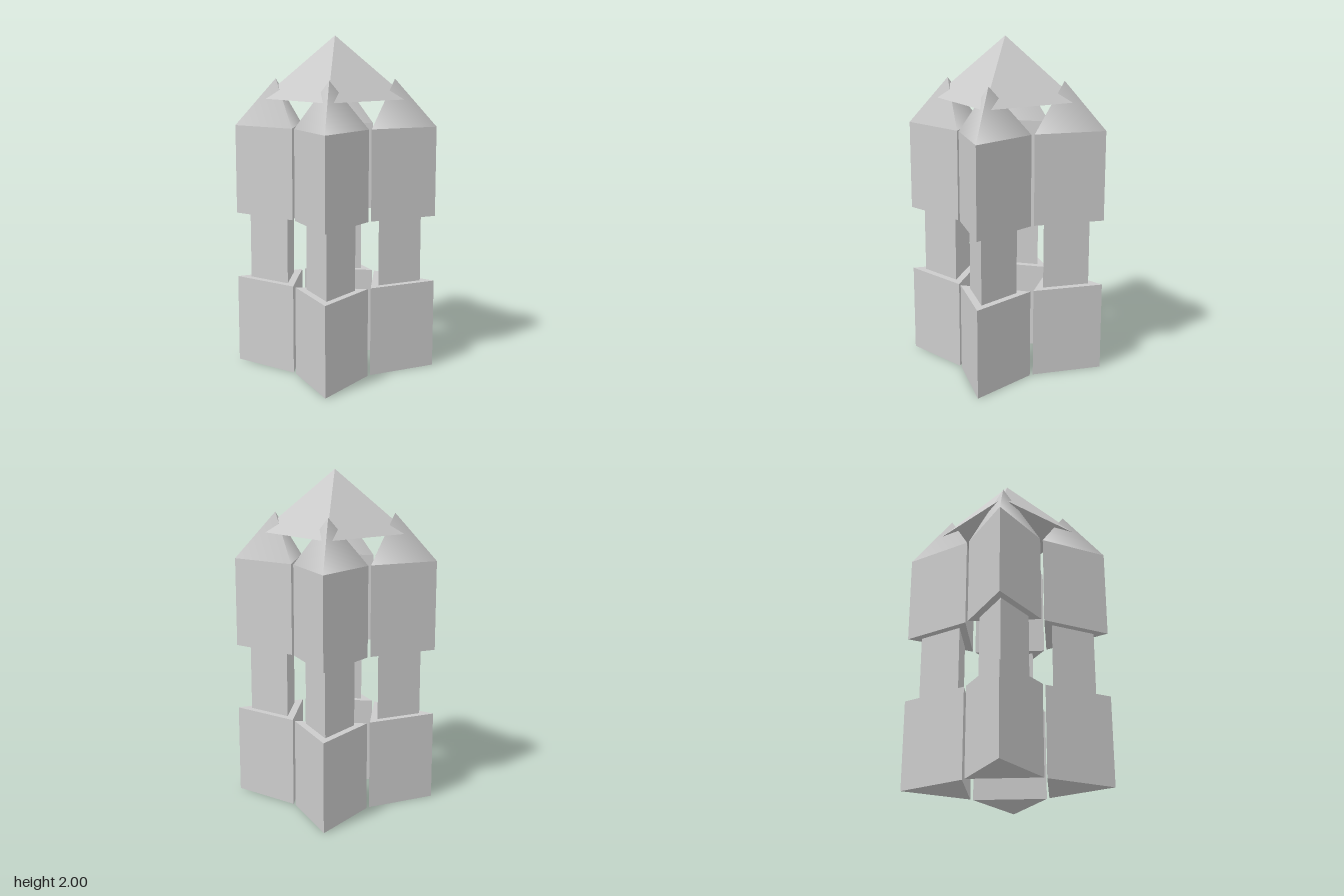
import * as THREE from 'three';

const flat = new THREE.MeshStandardMaterial({ color: 0xcccccc, flatShading: true });
const smooth = new THREE.MeshStandardMaterial({ color: 0xcccccc });

// Adds a mesh whose base sits at height y0
function add(parent, name, geometry, y0, height, material = flat) {
  const mesh = new THREE.Mesh(geometry, material);
  mesh.name = name;
  mesh.position.y = y0 + height / 2;
  parent.add(mesh);
  return mesh;
}

const prism = (radius, height) => new THREE.CylinderGeometry(radius, radius, height, 3);

// One triangular tower: lower block, narrow column, upper block, pointed cap
function createTower() {
  const tower = new THREE.Group();
  add(tower, 'lowerBlock', prism(0.248, 0.535), 0, 0.535);
  add(tower, 'column', prism(0.164, 0.4), 0.535, 0.4);
  add(tower, 'upperBlock', prism(0.248, 0.535), 0.935, 0.535);
  add(tower, 'towerCap', new THREE.ConeGeometry(0.248, 0.28, 3), 1.47, 0.28, smooth);
  return tower;
}

export function createModel() {
  const model = new THREE.Group();
  model.name = 'fourTowerPavilion';

  // Four towers, each with one corner pointing outward along the diagonal
  for (let i = 0; i < 4; i++) {
    const angle = Math.PI / 4 + (i * Math.PI) / 2;
    const tower = createTower();
    tower.name = `tower${i + 1}`;
    tower.position.set(0.25 * Math.SQRT2 * Math.sin(angle), 0, 0.25 * Math.SQRT2 * Math.cos(angle));
    tower.rotation.y = angle;
    model.add(tower);
  }

  // Square pyramid roof resting across the tower caps
  const roof = add(model, 'roof', new THREE.ConeGeometry(0.31 * Math.SQRT2, 0.37, 4), 1.63, 0.37);
  roof.rotation.y = Math.PI / 4;
  return model;
}
